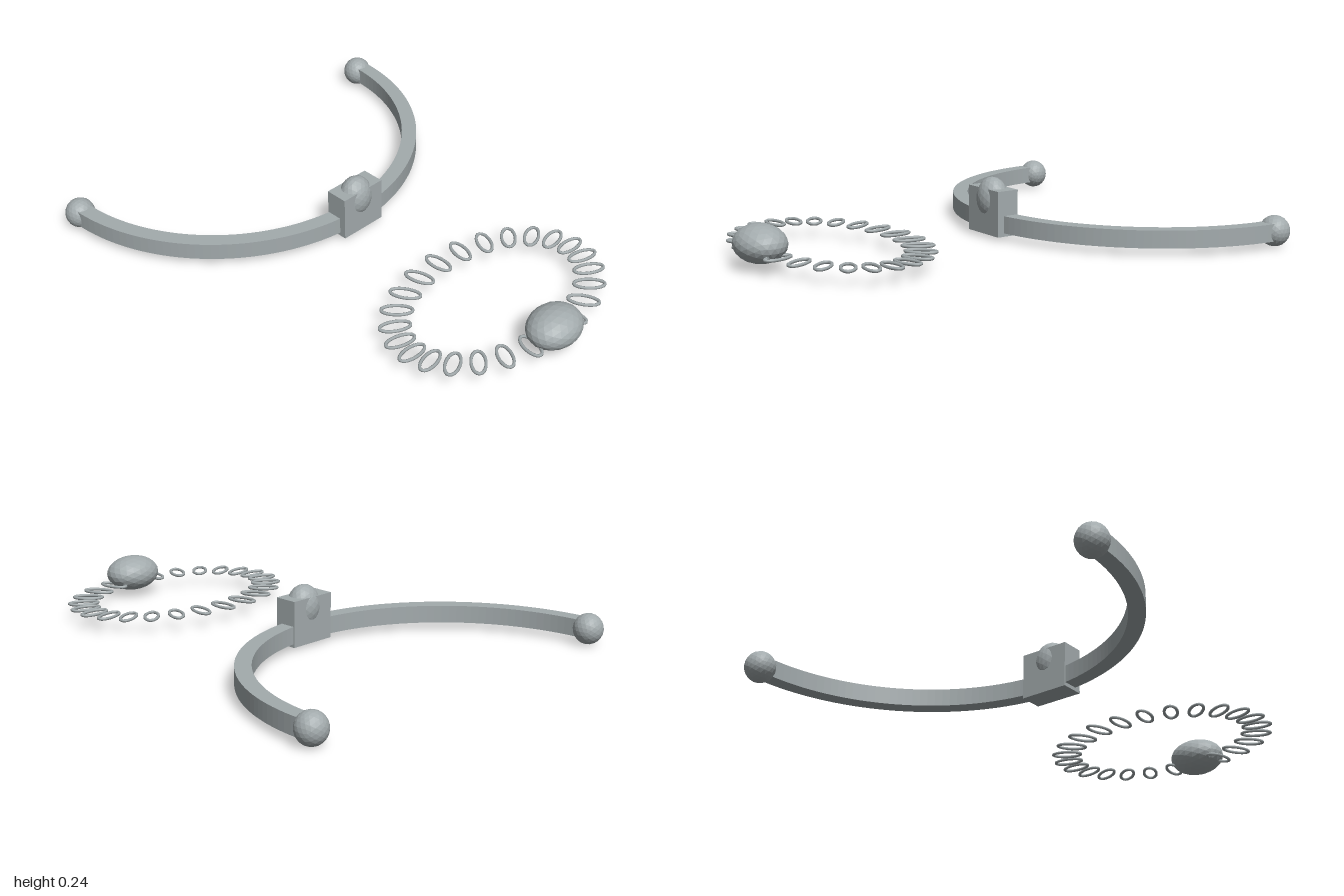
import * as THREE from 'three';

export function createModel() {
  const model = new THREE.Group();
  const silver = new THREE.MeshStandardMaterial({ color: 0xa3abad });
  silver.name = 'silver';

  const add = (name, geometry, x, y, z, parent = model) => {
    const mesh = new THREE.Mesh(geometry, silver);
    mesh.name = name;
    mesh.position.set(x, y, z);
    parent.add(mesh);
    return mesh;
  };
  // faceted ellipsoid
  const pebble = (rx, ry, rz) => {
    const g = new THREE.IcosahedronGeometry(1, 3).scale(rx, ry, rz);
    g.computeVertexNormals();
    return g;
  };

  // open half-ring band, bulging to the front
  const arc = new THREE.Shape();
  arc.absarc(0, 0, 0.82, 0, Math.PI, false);
  arc.absarc(0, 0, 0.757, Math.PI, 0, true);
  arc.closePath();
  const band = new THREE.ExtrudeGeometry(arc, { depth: 0.07, bevelEnabled: false, curveSegments: 40 });
  band.rotateX(Math.PI / 2);
  add('band', band, 0, 0.1, -0.94);

  // end knobs
  for (const side of [-1, 1]) {
    add(side > 0 ? 'leftKnob' : 'rightKnob', pebble(0.061, 0.062, 0.06), side * 0.786, 0.064, -0.94);
  }

  // setting block with its oval gem
  add('settingBlock', new THREE.BoxGeometry(0.205, 0.185, 0.096), 0, 0.108, -0.146);
  add('settingGem', pebble(0.073, 0.087, 0.061), 0, 0.156, -0.143);

  // one flat oval link, long axis along z
  const points = [];
  for (let i = 0; i < 24; i++) {
    const a = (i / 24) * Math.PI * 2;
    points.push(new THREE.Vector3(Math.cos(a) * 0.027, 0, Math.sin(a) * 0.06));
  }
  const link = new THREE.TubeGeometry(new THREE.CatmullRomCurve3(points, true), 32, 0.0065, 6, true);

  // separate links pointing outward around an oval
  const bracelet = new THREE.Group();
  bracelet.name = 'bracelet';
  bracelet.position.set(0, 0.065, 0.608);
  model.add(bracelet);
  for (let i = 0; i < 24; i++) {
    const t = (i / 24) * Math.PI * 2;
    const mesh = add('link', link, Math.sin(t) * 0.447, 0, Math.cos(t) * 0.29, bracelet);
    mesh.rotation.y = t;
  }

  // large bracelet gem
  add('braceletGem', pebble(0.12, 0.074, 0.099), 0, 0.099, 0.9);

  return model;
}
